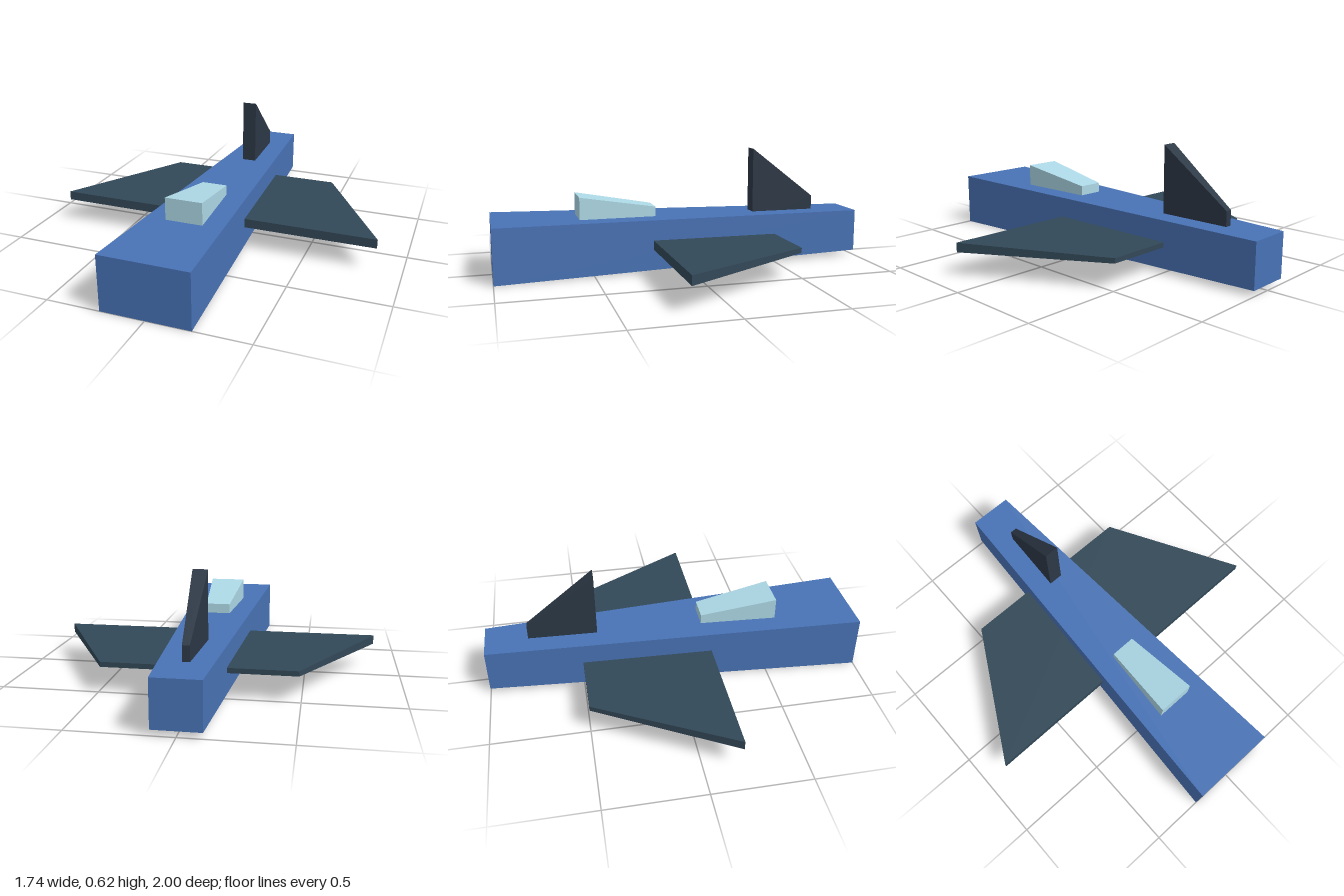
import * as THREE from 'three';

// Box tapered along z; each end is { z, w: half width, y0: bottom, y1: top }
function taperedBox(name, color, front, back) {
  const geometry = new THREE.BoxGeometry(2, 2, 2);
  const p = geometry.attributes.position;
  for (let i = 0; i < p.count; i++) {
    const end = p.getZ(i) > 0 ? front : back;
    p.setXYZ(i, p.getX(i) * end.w, p.getY(i) > 0 ? end.y1 : end.y0, end.z);
  }
  geometry.computeVertexNormals();
  const material = new THREE.MeshStandardMaterial({ color, flatShading: true });
  const mesh = new THREE.Mesh(geometry, material);
  mesh.name = name;
  return mesh;
}

export function createModel() {
  const plane = new THREE.Group();
  plane.name = 'jetPlane';
  plane.add(
    // Body, narrowing to the tail
    taperedBox('fuselage', 0x4872b5,
      { z: 1, w: 0.225, y0: 0, y1: 0.285 },
      { z: -1, w: 0.115, y0: 0.028, y1: 0.258 }),
    // One slab passes through the body and forms both wings
    taperedBox('wings', 0x324857,
      { z: 0.19, w: 0.868, y0: 0.12, y1: 0.168 },
      { z: -0.498, w: 0.488, y0: 0.13, y1: 0.156 }),
    // Canopy, sunk into the top of the body
    taperedBox('canopy', 0xadd8e6,
      { z: 0.558, w: 0.096, y0: 0.2, y1: 0.395 },
      { z: 0.152, w: 0.066, y0: 0.2, y1: 0.325 }),
    // Upright tail fin
    taperedBox('tailFin', 0x2c3846,
      { z: -0.408, w: 0.038, y0: 0.2, y1: 0.615 },
      { z: -0.773, w: 0.018, y0: 0.2, y1: 0.337 })
  );
  return plane;
}
